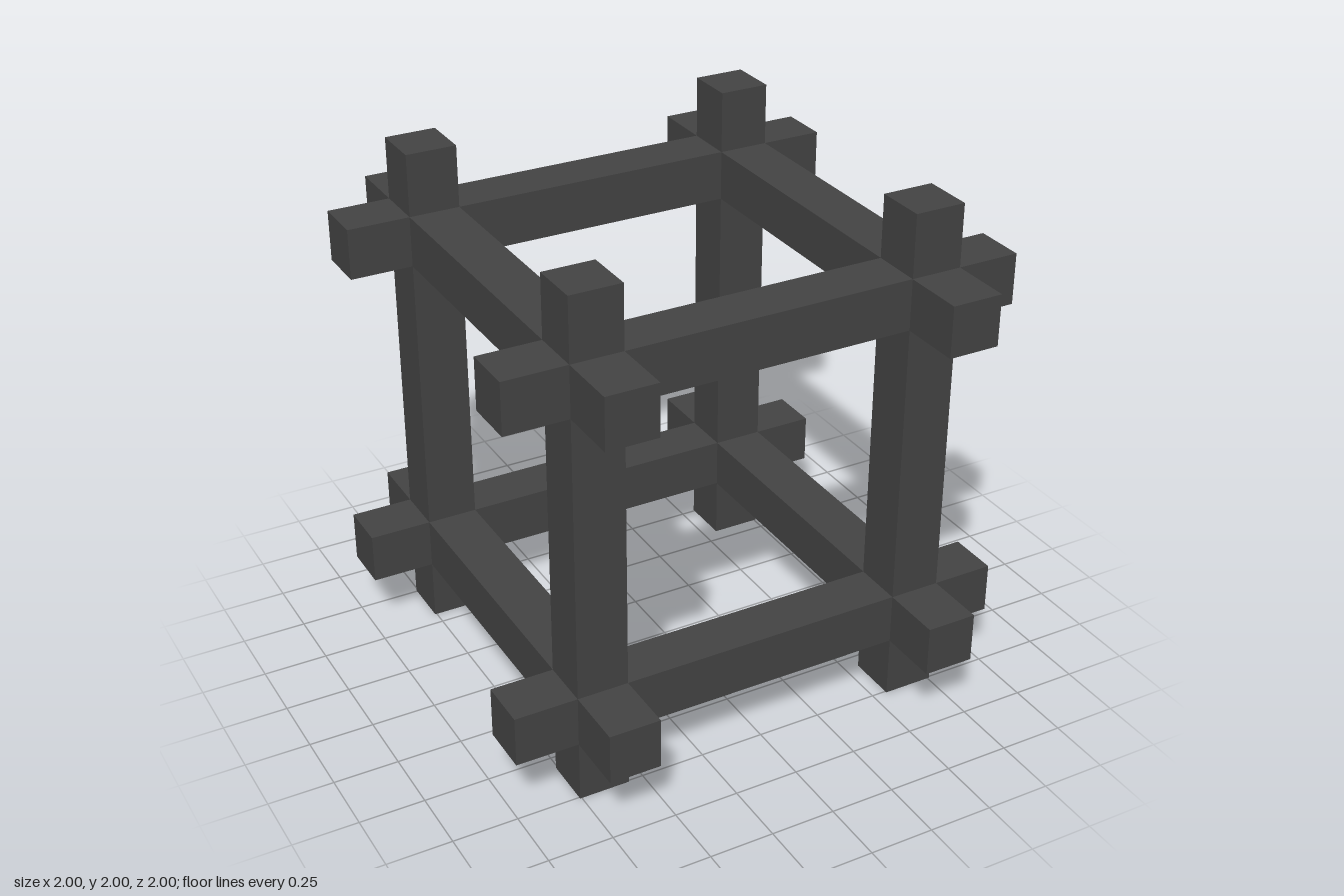
import * as THREE from 'three';

const LENGTH = 2;      // beam length
const WIDTH = 0.198;   // square beam section
const OFFSET = 0.658;  // beam axis distance from the centre

export function createModel() {
  const model = new THREE.Group();
  model.name = 'cubeFrame';

  const charcoal = new THREE.MeshStandardMaterial({ color: 0x444444 });
  charcoal.name = 'charcoal';

  // Four parallel beams along each axis, crossing at the eight corners
  const names = ['widthBeam', 'uprightBeam', 'depthBeam'];
  names.forEach((name, axis) => {
    const size = [WIDTH, WIDTH, WIDTH];
    size[axis] = LENGTH;
    const geometry = new THREE.BoxGeometry(...size);

    const beams = new THREE.Group();
    beams.name = name + 's';
    for (const a of [-1, 1]) {
      for (const b of [-1, 1]) {
        const beam = new THREE.Mesh(geometry, charcoal);
        beam.name = name;
        beam.position.setComponent((axis + 1) % 3, a * OFFSET);
        beam.position.setComponent((axis + 2) % 3, b * OFFSET);
        beams.add(beam);
      }
    }
    beams.position.y = LENGTH / 2; // stand the frame on the ground
    model.add(beams);
  });

  return model;
}
